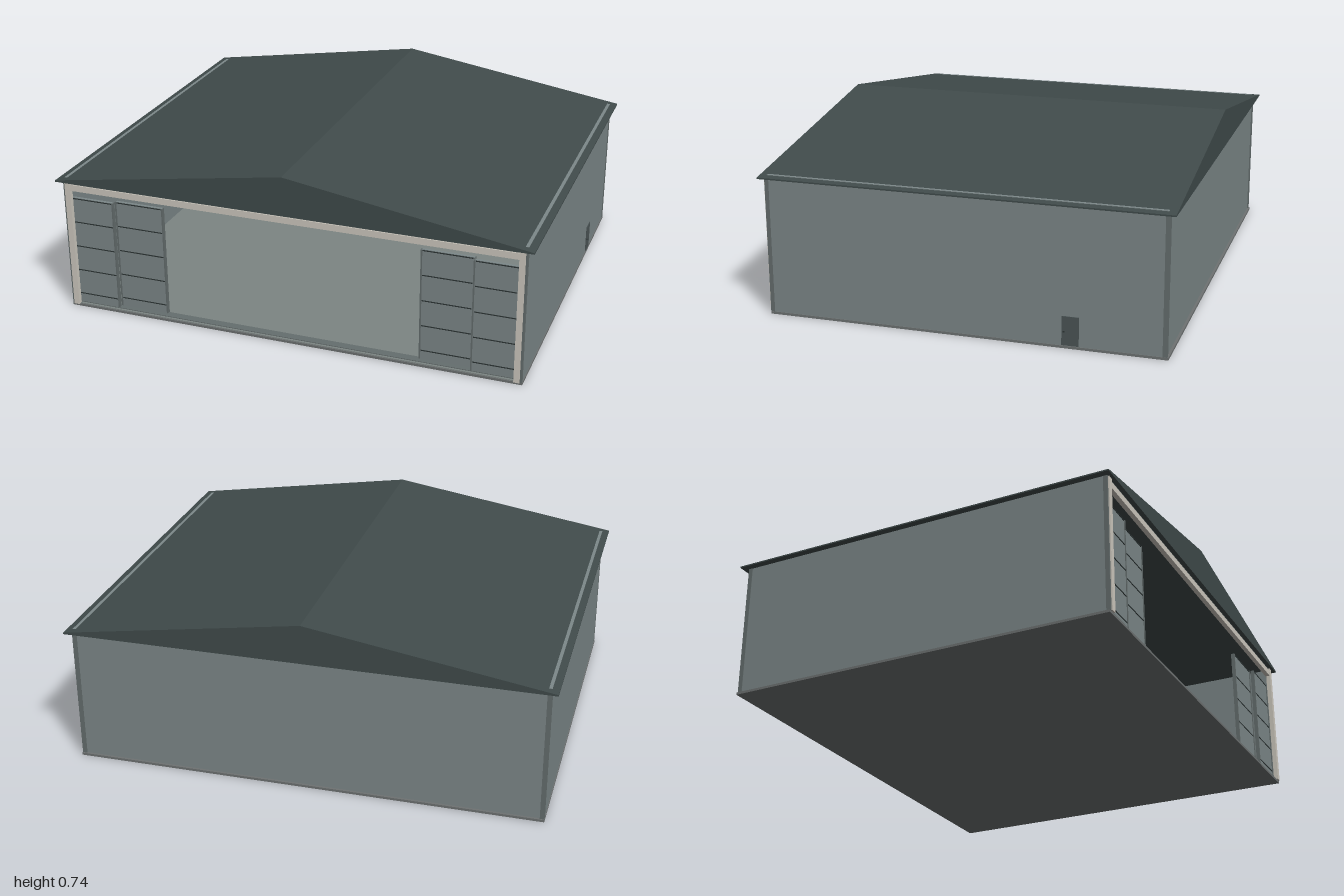
import * as THREE from 'three';

const mat = (name, color) => {
  const m = new THREE.MeshStandardMaterial({ color });
  m.name = name;
  return m;
};

export function createModel() {
  const wall = mat('wall grey', 0x7d8889);
  const roofMat = mat('roof slate', 0x404b4b);
  const slabMat = mat('slab grey', 0x6e7272);
  const floorMat = mat('floor grey', 0x7c8583);
  const trim = mat('corner trim', 0x656e6e);
  const frame = mat('pale frame', 0xcfcac0);
  const dark = mat('dark seam', 0x2c3434);
  const doorMat = mat('side door', 0x4b5556);

  const model = new THREE.Group();
  model.name = 'hangar';

  // Box given by its minimum and maximum corners
  const box = (name, material, x0, x1, y0, y1, z0, z1, parent = model) => {
    const mesh = new THREE.Mesh(new THREE.BoxGeometry(x1 - x0, y1 - y0, z1 - z0), material);
    mesh.position.set((x0 + x1) / 2, (y0 + y1) / 2, (z0 + z1) / 2);
    mesh.name = name;
    parent.add(mesh);
    return mesh;
  };

  // Base slab and interior floor
  box('slab', slabMat, -0.975, 0.975, 0, 0.01, -0.815, 0.815);
  box('floor', floorMat, -0.955, 0.955, 0.008, 0.012, -0.79, 0.81);

  // Walls; the side walls just break through the roof near the eaves
  box('backWall', wall, -0.965, 0.965, 0.01, 0.575, -0.805, -0.79);
  for (const s of [-1, 1]) {
    const wx = s * 0.9645;
    box('sideWall', wall, wx - 0.0075, wx + 0.0075, 0.01, 0.5835, -0.803, 0.805);
    box('cornerTrim', trim, s * 0.965 - 0.009, s * 0.965 + 0.009, 0.008, 0.575, -0.81, -0.792);
  }

  // Low gable roof with a thin vertical eave
  const profile = new THREE.Shape([
    [-1, 0.571], [1, 0.571], [1, 0.577], [0, 0.735], [-1, 0.577],
  ].map(([x, y]) => new THREE.Vector2(x, y)));
  const roof = new THREE.Mesh(
    new THREE.ExtrudeGeometry(profile, { depth: 1.67, bevelEnabled: false }), roofMat);
  roof.position.z = -0.835;
  roof.name = 'roof';
  model.add(roof);

  // Pale frame round the front opening
  box('lintel', frame, -0.965, 0.965, 0.533, 0.56, 0.8, 0.82);
  box('lintelTrim', trim, -0.965, 0.965, 0.56, 0.571, 0.8, 0.815);
  for (const s of [-1, 1]) {
    box('jamb', frame, s * 0.953 - 0.012, s * 0.953 + 0.012, 0.01, 0.571, 0.803, 0.822);
    box('jambEdge', trim, s * 0.969 - 0.004, s * 0.969 + 0.004, 0.01, 0.571, 0.8, 0.817);
  }

  // Sliding door leaves, two on each side, with horizontal seams
  const leaf = (x0, x1, z) => {
    const g = new THREE.Group();
    g.name = 'doorLeaf';
    box('leafPanel', wall, x0, x1, 0.012, 0.492, z - 0.012, z, g);
    for (const y of [0.052, 0.162, 0.272, 0.382, 0.488])
      box('leafSeam', dark, x0 + 0.005, x1 - 0.005, y - 0.002, y + 0.002, z - 0.001, z + 0.002, g);
    for (const x of [x0, x1])
      box('leafStile', trim, x - 0.003, x + 0.003, 0.012, 0.492, z - 0.013, z + 0.003, g);
    model.add(g);
  };
  for (const s of [-1, 1]) {
    for (const [a, b, z] of [[0.55, 0.76, 0.775], [0.765, 0.95, 0.795]])
      leaf(Math.min(s * a, s * b), Math.max(s * a, s * b), z);
  }
  box('doorTrack', trim, -0.95, 0.95, 0.01, 0.015, 0.765, 0.8);

  // Small personnel door on the left side, with a handle
  box('sideDoor', doorMat, 0.971, 0.975, 0.012, 0.13, -0.468, -0.4);
  box('sideDoorHandle', dark, 0.975, 0.978, 0.065, 0.071, -0.412, -0.406);

  return model;
}
